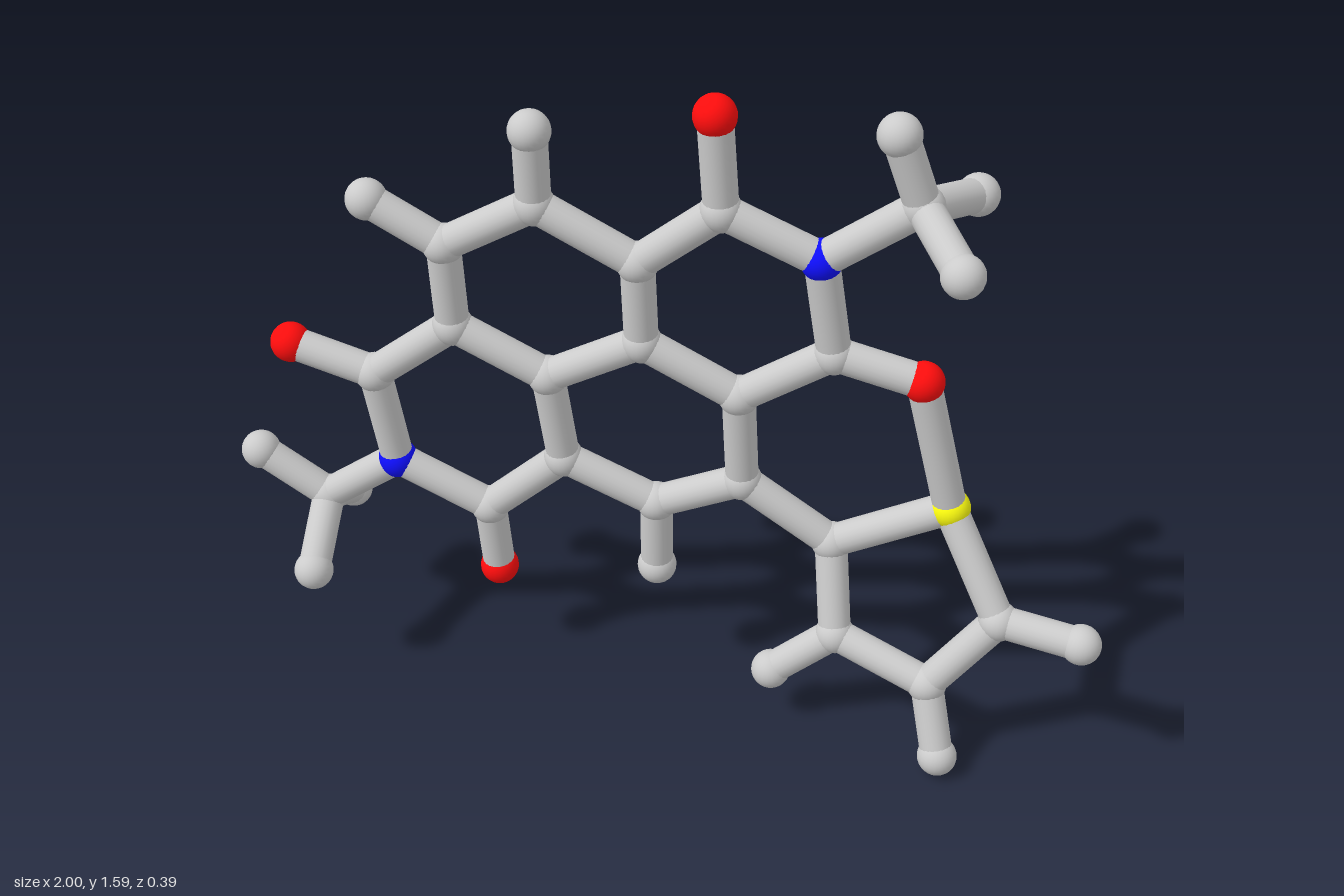
import * as THREE from 'three';

const ATOM_R = 0.045, BOND_R = 0.037;

// Atom centres; the first letter of each key gives the element
const ATOMS = {
  // upper imide ring
  O1: [0.11, 1.545, 0.02], C1: [0.125, 1.33, 0.015], N1: [0.33, 1.235, 0],
  C2: [0.365, 1.0, -0.015], O2: [0.555, 0.955, -0.02],
  // upper methyl
  C20: [0.525, 1.385, 0], H20: [0.47, 1.545, 0.015],
  H21: [0.625, 1.33, 0.147], H22: [0.62, 1.34, -0.15],
  // fused core
  C3: [-0.05, 1.18, 0.01], C4: [-0.265, 1.295, 0.02], H4: [-0.265, 1.47, 0.03],
  C5: [-0.465, 1.175, 0.025], H5: [-0.625, 1.265, 0.03], C6: [-0.46, 0.965, 0.015],
  C7: [-0.255, 0.855, 0], C8: [-0.045, 0.975, 0], C9: [0.165, 0.86, -0.015],
  C10: [0.175, 0.62, -0.03], C11: [-0.02, 0.525, -0.03], H11: [-0.02, 0.335, -0.035],
  C12: [-0.23, 0.625, -0.015],
  // lower imide ring
  C13: [-0.41, 0.455, -0.015], O13: [-0.4, 0.265, -0.028], N2: [-0.62, 0.565, 0],
  C14: [-0.65, 0.81, 0.015], O14: [-0.84, 0.865, 0.02],
  // lower methyl
  C30: [-0.8, 0.43, 0], H30: [-0.955, 0.535, 0.005],
  H31: [-0.795, 0.315, 0.145], H32: [-0.805, 0.325, -0.155],
  // five-sided sulphur ring
  S1: [0.635, 0.62, -0.038], C15: [0.38, 0.48, -0.035], C16: [0.41, 0.27, 0.035],
  H16: [0.27, 0.15, 0.055], C17: [0.63, 0.21, 0.085], H17: [0.673, 0.05, 0.145],
  C18: [0.77, 0.395, 0.05], H18: [0.952, 0.39, 0.08],
};

// Chains of bonded atoms
const CHAINS = [
  'O1 C1 N1 C2 O2 S1', 'C1 C3 C8 C9 C2', 'N1 C20 H20', 'H21 C20 H22',
  'C3 C4 C5 C6 C7 C8', 'H4 C4', 'H5 C5', 'C9 C10 C11 C12 C7', 'H11 C11',
  'C12 C13 N2 C14 C6', 'O13 C13', 'O14 C14', 'N2 C30 H30', 'H31 C30 H32',
  'C10 C15 S1 C18 C17 C16 C15', 'H16 C16', 'H17 C17', 'H18 C18',
];

const ELEMENTS = {
  C: ['carbonAtom', 0xcccccc], H: ['hydrogenAtom', 0xcccccc], O: ['oxygenAtom', 0xff0d0d],
  N: ['nitrogenAtom', 0x0f0fff], S: ['sulphurAtom', 0xffff10],
};

export function createModel() {
  const model = new THREE.Group();
  model.name = 'molecule';

  // Atoms
  const ball = new THREE.SphereGeometry(ATOM_R, 24, 16);
  const materials = {};
  for (const [key, [, color]] of Object.entries(ELEMENTS)) {
    materials[key] = new THREE.MeshStandardMaterial({ color });
  }
  for (const [key, pos] of Object.entries(ATOMS)) {
    const atom = new THREE.Mesh(ball, materials[key[0]]);
    atom.name = ELEMENTS[key[0]][0];
    atom.position.set(...pos);
    model.add(atom);
  }

  // Bonds: a unit cylinder stretched between two atom centres
  const rod = new THREE.CylinderGeometry(BOND_R, BOND_R, 1, 20, 1, true);
  const up = new THREE.Vector3(0, 1, 0);
  for (const chain of CHAINS) {
    const keys = chain.split(' ');
    for (let i = 1; i < keys.length; i++) {
      const a = new THREE.Vector3(...ATOMS[keys[i - 1]]);
      const b = new THREE.Vector3(...ATOMS[keys[i]]);
      const bond = new THREE.Mesh(rod, materials.C);
      bond.name = 'bond';
      bond.position.copy(a).lerp(b, 0.5);
      bond.scale.y = a.distanceTo(b);
      bond.quaternion.setFromUnitVectors(up, b.sub(a).normalize());
      model.add(bond);
    }
  }
  return model;
}
